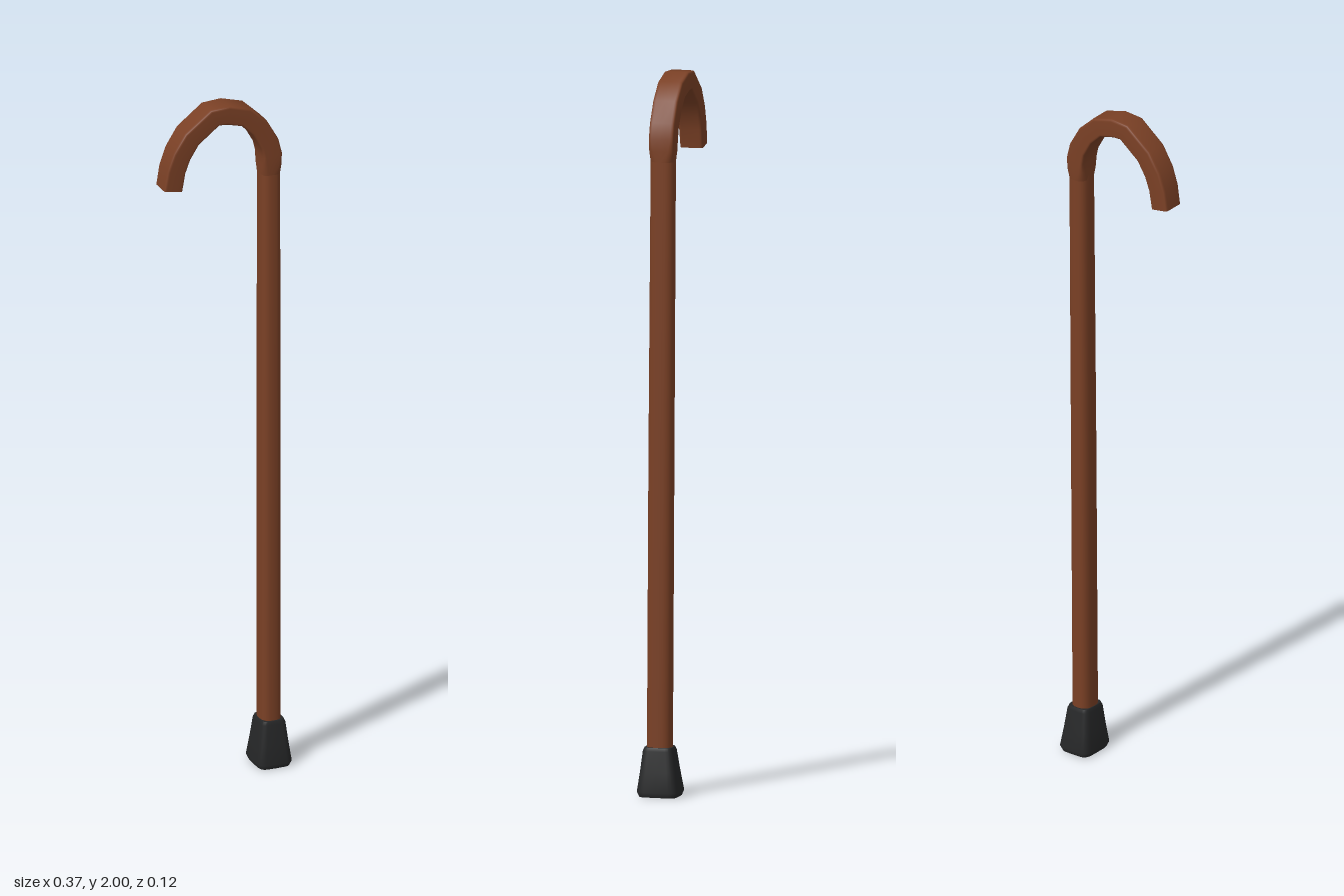
import * as THREE from 'three';

const SIDES = 24;

// Sweep superellipse sections along a path that bends in the XY plane.
// Each ring: [x, y, z, halfWidth, halfDepth, squareness]
function loft(rings, capStart, capEnd) {
  const pos = [], idx = [];
  const addRing = (i) => {
    const [x, y, z, w, d, n] = rings[i];
    const a = rings[Math.max(i - 1, 0)], b = rings[Math.min(i + 1, rings.length - 1)];
    const len = Math.hypot(b[0] - a[0], b[1] - a[1]);
    const ux = (b[1] - a[1]) / len, uy = -(b[0] - a[0]) / len;
    const start = pos.length / 3;
    for (let j = 0; j < SIDES; j++) {
      const t = (j / SIDES) * Math.PI * 2, c = Math.cos(t), s = Math.sin(t);
      const p = w * Math.sign(c) * Math.abs(c) ** (2 / n);
      const q = d * Math.sign(s) * Math.abs(s) ** (2 / n);
      pos.push(x + ux * p, y + uy * p, z + q);
    }
    return start;
  };
  const starts = rings.map((_, i) => addRing(i));
  for (let i = 0; i < rings.length - 1; i++) {
    for (let j = 0; j < SIDES; j++) {
      const k = (j + 1) % SIDES, a = starts[i], b = starts[i + 1];
      idx.push(a + j, b + j, a + k, b + j, b + k, a + k);
    }
  }
  // Caps have their own vertices so their edges stay sharp
  const cap = (i, flip) => {
    const s = addRing(i), c = pos.length / 3;
    pos.push(...rings[i].slice(0, 3));
    for (let j = 0; j < SIDES; j++) {
      const k = (j + 1) % SIDES;
      idx.push(c, s + (flip ? k : j), s + (flip ? j : k));
    }
  };
  if (capStart) cap(0, false);
  if (capEnd) cap(rings.length - 1, true);
  const g = new THREE.BufferGeometry();
  g.setAttribute('position', new THREE.Float32BufferAttribute(pos, 3));
  g.setIndex(idx);
  g.computeVertexNormals();
  return g;
}

export function createModel() {
  const wood = new THREE.MeshStandardMaterial({ color: 0x7a4025 });
  wood.name = 'brown wood';
  const rubber = new THREE.MeshStandardMaterial({ color: 0x262728 });
  rubber.name = 'black rubber';

  const group = new THREE.Group();
  group.name = 'walkingCane';
  const add = (name, geometry, material) => {
    const mesh = new THREE.Mesh(geometry, material);
    mesh.name = name;
    group.add(mesh);
  };

  // Straight shaft, leaning very slightly backwards
  add('shaft', loft([
    [0.133, 0.1, 0.002, 0.03, 0.035, 2.7],
    [0.135, 0.95, -0.003, 0.03, 0.035, 2.7],
    [0.137, 1.785, -0.009, 0.029, 0.034, 2.7],
  ], true, true), wood);

  // Hooked handle, with a squarer section than the shaft
  const path = [
    [0.137, 1.83], [0.128, 1.867], [0.099, 1.918], [0.058, 1.957], [0.004, 1.972],
    [-0.036, 1.971], [-0.104, 1.918], [-0.134, 1.87], [-0.15, 1.825], [-0.159, 1.77],
  ];
  add('handle', loft([
    [0.137, 1.77, -0.009, 0.029, 0.034, 2.7],
    [0.137, 1.8, -0.009, 0.029, 0.036, 5],
    ...path.map(([x, y], i) => [x, y, -0.009 - 0.0004 * i, 0.028, i < 6 ? 0.036 : 0.0355 - 0.001 * (i - 6), 9]),
  ], false, true), wood);

  // Flared rubber foot
  add('rubberFoot', loft([
    [0.134, 0, 0, 0.046, 0.054, 5],
    [0.134, 0.014, 0, 0.052, 0.06, 5],
    [0.134, 0.07, 0.001, 0.044, 0.051, 5],
    [0.134, 0.127, 0.002, 0.037, 0.043, 5],
    [0.134, 0.137, 0.002, 0.033, 0.039, 5],
  ], true, true), rubber);

  return group;
}
